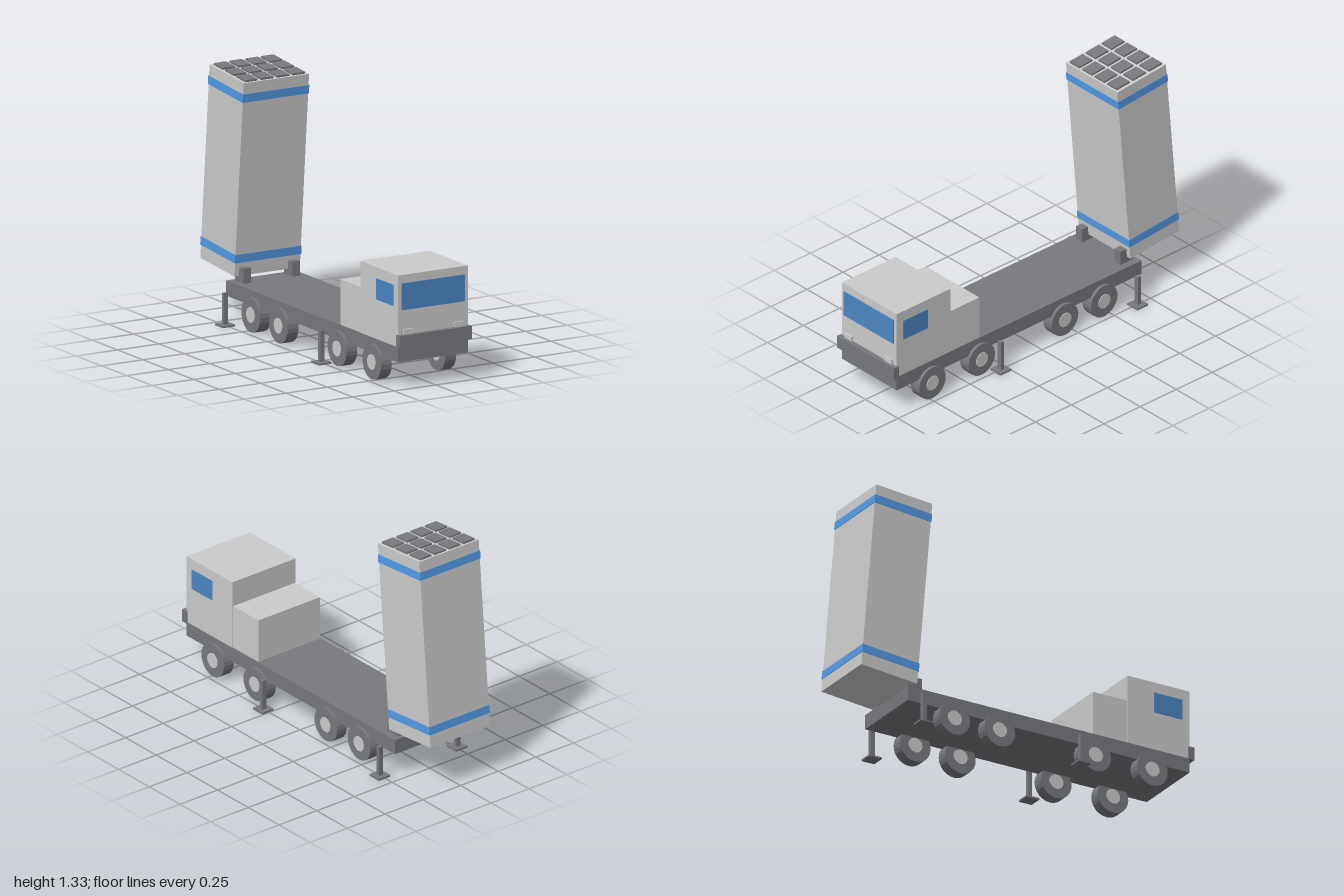
import * as THREE from 'three';

const mat = (color) => new THREE.MeshStandardMaterial({ color, flatShading: true });

export function createModel() {
  const model = new THREE.Group();
  model.name = 'launcherTruck';
  const grey = mat(0xcccccc), dark = mat(0x78797e), glass = mat(0x4b86c4), blue = mat(0x549be6);

  // Box given by its min/max extents
  const box = (name, [x0, x1], [y0, y1], [z0, z1], material, parent = model) => {
    const mesh = new THREE.Mesh(new THREE.BoxGeometry(x1 - x0, y1 - y0, z1 - z0), material);
    mesh.position.set((x0 + x1) / 2, (y0 + y1) / 2, (z0 + z1) / 2);
    mesh.name = name;
    parent.add(mesh);
    return mesh;
  };
  // Same box on both sides; side is +1 for left, -1 for right
  const pair = (name, [x0, x1], y, z, material) => {
    box(name + 'Left', [x0, x1], y, z, material);
    box(name + 'Right', [-x1, -x0], y, z, material);
  };

  // Chassis, cab and equipment housing
  box('chassis', [-0.21, 0.21], [0.14, 0.22], [-0.725, 0.973], dark);
  box('cab', [-0.21, 0.21], [0.22, 0.6], [0.6, 0.973], grey);
  box('equipmentHousing', [-0.205, 0.205], [0.22, 0.46], [0.395, 0.6], grey);
  box('bumper', [-0.218, 0.218], [0.215, 0.285], [0.965, 1], dark);
  box('windshield', [-0.19, 0.19], [0.415, 0.556], [0.965, 0.98], glass);
  pair('sideWindow', [0.2, 0.213], [0.43, 0.542], [0.76, 0.93], glass);
  pair('headlight', [0.125, 0.18], [0.285, 0.312], [0.965, 0.983], grey);

  // Wheels: four axles
  const cylinder = (name, radius, width, material, parent) => {
    const mesh = new THREE.Mesh(new THREE.CylinderGeometry(radius, radius, width, 24), material);
    mesh.rotation.z = Math.PI / 2;
    mesh.name = name;
    parent.add(mesh);
    return mesh;
  };
  for (const z of [0.74, 0.398, -0.18, -0.452]) {
    for (const side of [-1, 1]) {
      const wheel = new THREE.Group();
      wheel.name = 'wheel';
      wheel.position.set(side * 0.194, 0.096, z);
      cylinder('tyre', 0.092, 0.065, dark, wheel);
      cylinder('hub', 0.041, 0.072, grey, wheel);
      model.add(wheel);
    }
  }

  // Stabiliser legs with foot plates
  for (const z of [0.292, -0.657]) {
    pair('stabiliserPost', [0.244, 0.269], [0.01, 0.175], [z - 0.011, z + 0.011], dark);
    pair('stabiliserFoot', [0.218, 0.294], [0, 0.01], [z - 0.038, z + 0.038], dark);
  }

  // Hinge blocks at the rear of the deck
  pair('hingeBlock', [0.125, 0.17], [0.22, 0.3], [-0.7, -0.615], dark);

  // Raised canister pack, tilted about its base
  const pack = new THREE.Group();
  pack.name = 'canisterPack';
  pack.position.set(0, 0.267, -0.829);
  pack.rotation.x = THREE.MathUtils.degToRad(5);
  model.add(pack);
  const height = 1.046;
  box('canisterBody', [-0.197, 0.197], [0, height], [-0.169, 0.169], grey, pack);
  for (const y of [0.072, height - 0.105]) {
    box('canisterBand', [-0.2, 0.2], [y, y + 0.045], [-0.172, 0.172], blue, pack);
  }
  // Tube covers, four by three
  for (let i = 0; i < 4; i++) {
    for (let j = 0; j < 3; j++) {
      const x = (i - 1.5) * 0.0955, z = (j - 1) * 0.112;
      box('tubeCover', [x - 0.037, x + 0.037], [height - 0.01, height + 0.01], [z - 0.045, z + 0.045], dark, pack);
    }
  }
  return model;
}
